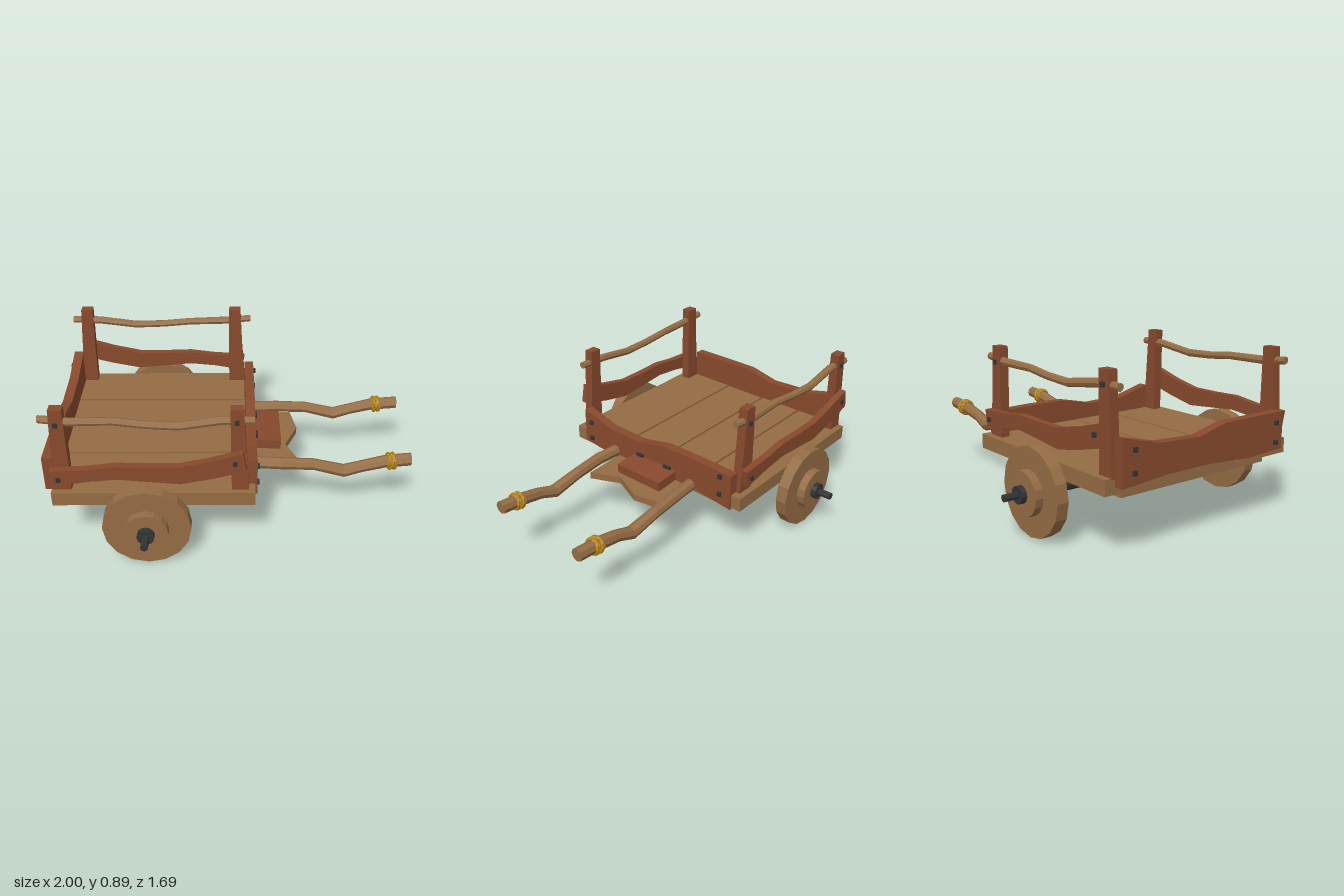
import * as THREE from 'three';

const mat = (color) => new THREE.MeshStandardMaterial({ color, flatShading: true });

export function createModel() {
  const cart = new THREE.Group();
  cart.name = 'handCart';
  const wood = mat(0x946c44), redWood = mat(0x87492d), iron = mat(0x333436), rope = mat(0xb3831c);

  const add = (name, geo, material, x = 0, y = 0, z = 0, parent = cart) => {
    const m = new THREE.Mesh(geo, material);
    m.name = name;
    m.position.set(x, y, z);
    parent.add(m);
    return m;
  };
  // Box given by its min and max corners
  const block = (name, material, x0, x1, y0, y1, z0, z1) => add(name,
    new THREE.BoxGeometry(x1 - x0, y1 - y0, z1 - z0), material, (x0 + x1) / 2, (y0 + y1) / 2, (z0 + z1) / 2);
  // Flat outline extruded along +z
  const slab = (pts, depth) => new THREE.ExtrudeGeometry(
    new THREE.Shape(pts.map((p) => new THREE.Vector2(...p))), { depth, bevelEnabled: false });
  // Crooked log through stations [x, y, z, radius]
  const log = (stations, sides = 8) => {
    const n = stations.length - 1;
    const g = new THREE.CylinderGeometry(1, 1, 1, sides, n);
    const p = g.attributes.position;
    for (let i = 0; i < p.count; i++) {
      const [x, y, z, r] = stations[Math.round((p.getY(i) + 0.5) * n)];
      p.setXYZ(i, x, y - p.getX(i) * r, z + p.getZ(i) * r);
    }
    g.computeVertexNormals();
    return g;
  };
  const bolt = (x, y, z, parent = cart) => add('bolt', new THREE.BoxGeometry(0.022, 0.024, 0.022), iron, x, y, z, parent);

  // Deck planks with narrow gaps, over a bottom board
  [[-0.945, 0.118, 0.262, 0.615], [-0.93, 0.11, -0.015, 0.248],
    [-0.935, 0.11, -0.29, -0.028], [-0.94, 0.12, -0.62, -0.304]]
    .forEach(([x0, x1, z0, z1]) => block('deckPlank', wood, x0, x1, 0.325, 0.405, z0, z1));
  block('bottomBoard', wood, -0.905, 0.08, 0.285, 0.326, -0.495, 0.49);

  // Notched tongue in front of the deck, with a hinged step on it
  const tongue = slab([[0.07, -0.26], [0.38, -0.25], [0.305, -0.08], [0.38, 0.09], [0.35, 0.26], [0.07, 0.26]], 0.04);
  add('tongue', tongue.rotateX(-Math.PI / 2), wood, 0, 0.298, 0);
  const step = block('step', redWood, 0.11, 0.275, 0.345, 0.4, -0.18, 0.13);
  step.rotation.z = -0.06;
  for (const z of [-0.12, 0.085]) block('hinge', iron, 0.125, 0.145, 0.385, 0.418, z - 0.025, z + 0.025);

  // Side panels: posts, wavy board and rail; the far side is the near one turned half round
  const cx = -0.43;
  for (const s of [1, -1]) {
    const side = new THREE.Group();
    side.name = s > 0 ? 'frontSide' : 'backSide';
    side.position.x = cx;
    side.rotation.y = s > 0 ? 0 : Math.PI;
    cart.add(side);
    const posts = [
      [[-0.94, 0.4], [-0.84, 0.4], [-0.838, 0.6], [-0.84, 0.895], [-0.908, 0.895], [-0.92, 0.65]],
      [[-0.005, 0.4], [0.085, 0.4], [0.07, 0.65], [0.055, 0.895], [-0.012, 0.895], [-0.008, 0.65]],
    ];
    for (const p of posts) add('post', slab(p, 0.052), redWood, -cx, 0, 0.533, side);
    const board = slab([[-0.92, 0.455], [-0.75, 0.485], [-0.6, 0.5], [-0.43, 0.485], [-0.27, 0.47], [-0.1, 0.505],
      [0.07, 0.55], [0.05, 0.66], [-0.12, 0.61], [-0.28, 0.575], [-0.45, 0.575], [-0.6, 0.58], [-0.75, 0.56], [-0.935, 0.55]], 0.04);
    add('sideBoard', board, redWood, -cx, 0, 0.583, side);
    add('rail', log([[-0.97, 0.83, 0.56, 0.02], [-0.82, 0.815, 0.562, 0.023], [-0.6, 0.812, 0.553, 0.021],
      [-0.44, 0.795, 0.558, 0.021], [-0.27, 0.788, 0.562, 0.022], [-0.05, 0.82, 0.556, 0.023], [0.11, 0.822, 0.56, 0.02]]),
    wood, -cx, 0, 0, side);
    bolt(-0.893 - cx, 0.5, 0.622, side);
    bolt(0.012 - cx, 0.6, 0.622, side);
    bolt(-0.88 - cx, 0.81, 0.585, side);
    bolt(0.022 - cx, 0.825, 0.585, side);
  }

  // End boards: outlines are (-z, y), turned to run along z
  const endBoard = (name, pts, x) => add(name, slab(pts, 0.055).rotateY(Math.PI / 2), redWood, x, 0, 0);
  endBoard('frontEndBoard', [[-0.535, 0.34], [-0.28, 0.315], [-0.03, 0.345], [0.29, 0.345], [0.56, 0.315],
    [0.56, 0.525], [0.32, 0.53], [0.1, 0.53], [-0.1, 0.487], [-0.32, 0.492], [-0.535, 0.548]], 0.075);
  endBoard('rearEndBoard', [[-0.535, 0.37], [-0.28, 0.36], [0, 0.38], [0.29, 0.38], [0.56, 0.36],
    [0.56, 0.597], [0.33, 0.54], [0.08, 0.528], [-0.1, 0.57], [-0.535, 0.57]], -0.99);
  for (const [z, y] of [[0.48, 0.48], [0.48, 0.375], [-0.49, 0.5], [-0.49, 0.39]]) {
    bolt(0.132, y, z);
    bolt(-0.992, y + 0.035, z);
  }

  // Pulling shafts with crossed rope bindings
  for (const s of [1, -1]) {
    const z = s * 0.295, end = s > 0 ? 0.985 : 1;
    add('shaft', log([[-0.04, 0.355, z - 0.01 * s, 0.03], [0.12, 0.362, z - 0.01 * s, 0.034], [0.27, 0.36, z, 0.034],
      [0.45, 0.348, z - 0.008, 0.033], [0.62, 0.31, z, 0.037], [0.72, 0.345, z + 0.005, 0.034],
      [0.85, 0.375, z, 0.036], [end, 0.388, z, 0.036]]), wood);
    for (const [ry, rz] of [[0.5, 0.1], [-0.5, 0.1], [0, 0.5], [0, -0.3]]) {
      const ring = add('ropeBinding', new THREE.TorusGeometry(0.044, 0.009, 5, 12).rotateY(Math.PI / 2), rope, 0.877, 0.377, z);
      ring.rotation.set(0, ry, rz);
    }
  }

  // Axle and wheels
  const wx = -0.45, wy = 0.234;
  const disc = (name, r, z0, z1, material, sides = 16) => add(name,
    new THREE.CylinderGeometry(r, r, Math.abs(z1 - z0), sides).rotateX(Math.PI / 2), material, wx, wy, (z0 + z1) / 2);
  disc('axle', 0.034, -0.64, 0.64, iron, 12);
  for (const s of [1, -1]) {
    disc('wheel', 0.234, s * 0.63, s * 0.695, wood);
    disc('hub', 0.118, s * 0.69, s * 0.74, wood);
    disc('axleCollar', 0.046, s * 0.735, s * 0.77, iron, 12);
    disc('axleTip', 0.02, s * 0.765, s * 0.847, iron, 8);
  }
  return cart;
}
